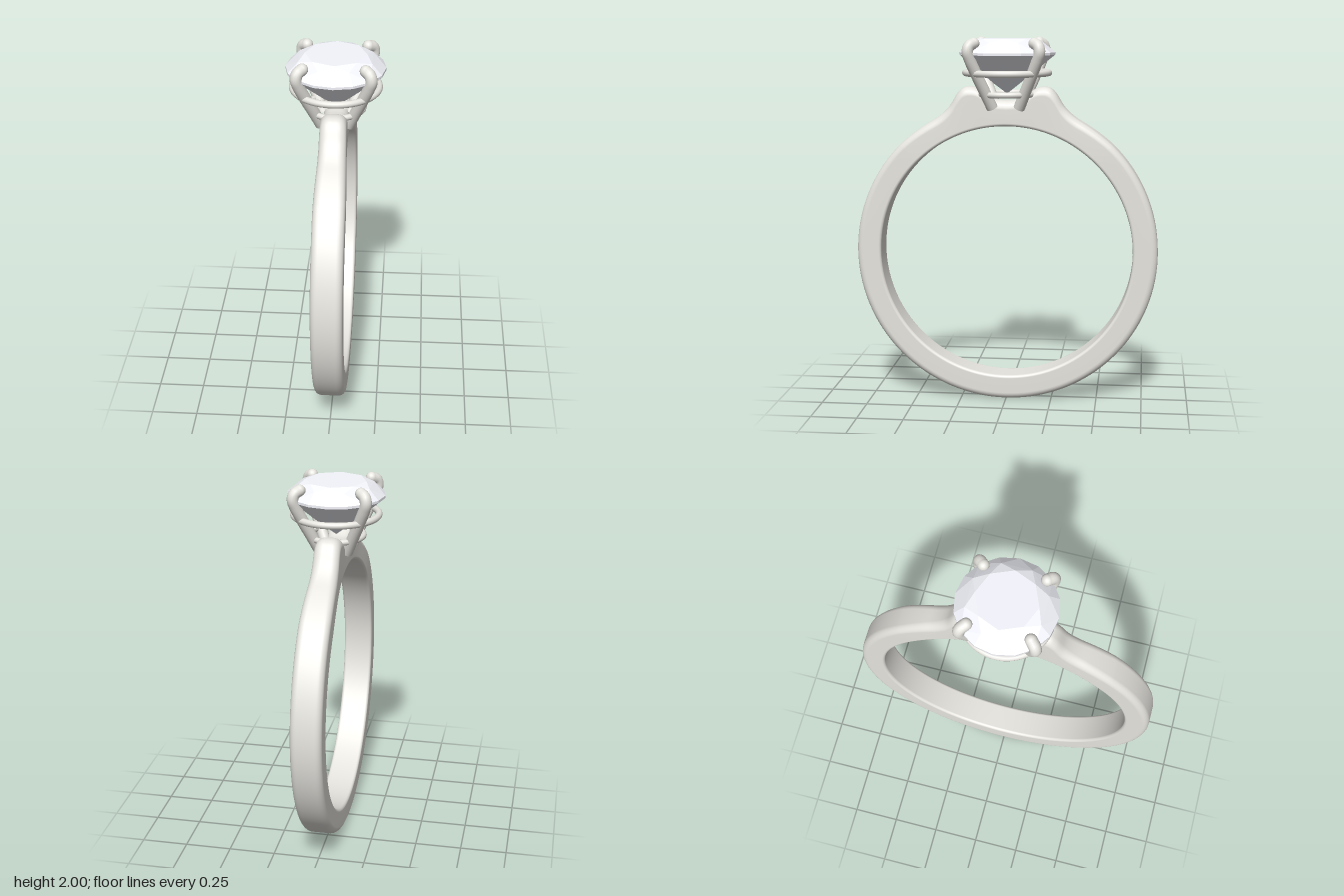
import * as THREE from 'three';
import { ConvexGeometry } from 'three/addons/geometries/ConvexGeometry.js';

const metal = new THREE.MeshStandardMaterial({ color: 0xe6e4de });
const gemMaterial = new THREE.MeshStandardMaterial({ color: 0xf5f6fd, flatShading: true });
const CENTRE_Y = 0.83, INNER_R = 0.692, OUTER_R = 0.827;

function addMesh(parent, name, geometry, material = metal) {
  const mesh = new THREE.Mesh(geometry, material);
  mesh.name = name;
  parent.add(mesh);
  return mesh;
}

// Outer radius against degrees from the top: saddle, shoulder peak, plain band
const shoulder = new THREE.SplineCurve([
  [0, 0.83], [4.1, 0.837], [7.3, 0.865], [9.6, 0.903], [11.8, 0.922], [14.5, 0.928],
  [17, 0.91], [21.4, 0.856], [26.5, 0.829], [33, 0.824], [45, OUTER_R],
].map(([a, r]) => new THREE.Vector2(a, r)));

// Rounded rectangle across the band, as [x, radius] pairs
function bandSection(halfWidth, outer, corner) {
  const points = [];
  const arc = (cx, cy, r, start) => {
    for (let i = 0; i <= 6; i++) {
      const a = start + (i / 6) * Math.PI / 2;
      points.push([cx + r * Math.cos(a), cy + r * Math.sin(a)]);
    }
  };
  const small = 0.016;
  arc(halfWidth - corner, outer - corner, corner, 0);
  arc(corner - halfWidth, outer - corner, corner, Math.PI / 2);
  arc(small - halfWidth, INNER_R + small, small, Math.PI);
  arc(halfWidth - small, INNER_R + small, small, Math.PI * 1.5);
  return points;
}

function bandGeometry() {
  // Stations for one half of the ring, then mirrored
  const half = [];
  for (let i = 0; i <= 60; i++) {
    const p = shoulder.getPoint(i / 60);
    half.push([p.x, p.y]);
  }
  for (let a = 47.5; a <= 180; a += 2.5) half.push([a, OUTER_R]);
  const stations = [...half, ...half.slice(1, -1).reverse().map(([a, r]) => [360 - a, r])];

  const positions = [], index = [];
  let n = 0;
  for (const [deg, outer] of stations) {
    const fromTop = Math.min(deg, 360 - deg);
    const plain = THREE.MathUtils.smoothstep(fromTop, 10, 48);
    const section = bandSection(0.068 + 0.0145 * plain, outer, 0.05 - 0.014 * plain);
    n = section.length;
    const a = THREE.MathUtils.degToRad(deg);
    for (const [x, r] of section) {
      positions.push(x, CENTRE_Y + r * Math.cos(a), r * Math.sin(a));
    }
  }
  const count = stations.length;
  for (let i = 0; i < count; i++) {
    for (let j = 0; j < n; j++) {
      const k = (j + 1) % n, next = (i + 1) % count;
      const a = i * n + j, b = i * n + k, c = next * n + k, d = next * n + j;
      index.push(a, b, d, b, c, d);
    }
  }
  const geometry = new THREE.BufferGeometry();
  geometry.setAttribute('position', new THREE.Float32BufferAttribute(positions, 3));
  geometry.setIndex(index);
  geometry.computeVertexNormals();
  return geometry;
}

// Round brilliant: table, crown, thin girdle, pavilion and culet
function gemGeometry() {
  const points = [new THREE.Vector3(0, 1.695, 0)];
  const ring = (count, r, y, turn) => {
    for (let i = 0; i < count; i++) {
      const a = ((i + turn) / count) * Math.PI * 2;
      points.push(new THREE.Vector3(r * Math.cos(a), y, r * Math.sin(a)));
    }
  };
  ring(8, 0.16, 1.99, 0);
  ring(8, 0.205, 1.97, 0.5);
  ring(16, 0.26, 1.918, 0);
  ring(16, 0.26, 1.905, 0);
  ring(8, 0.07, 1.747, 0.5);
  return new ConvexGeometry(points);
}

// One claw leaning outwards on a diagonal, with its tip hooked over the stone
function makeProng(sx, sz) {
  const prong = new THREE.Group();
  const radius = 0.031;
  const path = [
    [0.073, 1.622], [0.105, 1.7], [0.147, 1.8], [0.18, 1.885], [0.19, 1.925], [0.183, 1.953], [0.16, 1.967],
  ].map(([d, y]) => new THREE.Vector3(sx * d, y, sz * d));
  const curve = new THREE.CatmullRomCurve3(path);
  addMesh(prong, 'prongWire', new THREE.TubeGeometry(curve, 40, radius, 16));
  addMesh(prong, 'prongTip', new THREE.SphereGeometry(radius, 16, 12)).position.copy(path.at(-1));
  // Flat foot closing the lower end
  const foot = addMesh(prong, 'prongFoot', new THREE.CircleGeometry(radius, 16));
  foot.position.copy(path[0]);
  foot.quaternion.setFromUnitVectors(new THREE.Vector3(0, 0, 1), curve.getTangent(0).negate());
  return prong;
}

export function createModel() {
  const model = new THREE.Group();
  model.name = 'ring';

  addMesh(model, 'band', bandGeometry());
  addMesh(model, 'gemstone', gemGeometry(), gemMaterial);

  // Claw setting
  const setting = new THREE.Group();
  setting.name = 'setting';
  for (const [side, sx] of [['Left', 1], ['Right', -1]]) {
    for (const [end, sz] of [['front', 1], ['back', -1]]) {
      const prong = makeProng(sx, sz);
      prong.name = `${end}${side}Prong`;
      setting.add(prong);
    }
  }
  for (const [name, r, tube, y] of [['upperGalleryRing', 0.226, 0.018, 1.808], ['lowerGalleryRing', 0.146, 0.016, 1.693]]) {
    const rail = addMesh(setting, name, new THREE.TorusGeometry(r, tube, 12, 64));
    rail.rotation.x = Math.PI / 2;
    rail.position.y = y;
  }
  model.add(setting);
  return model;
}
